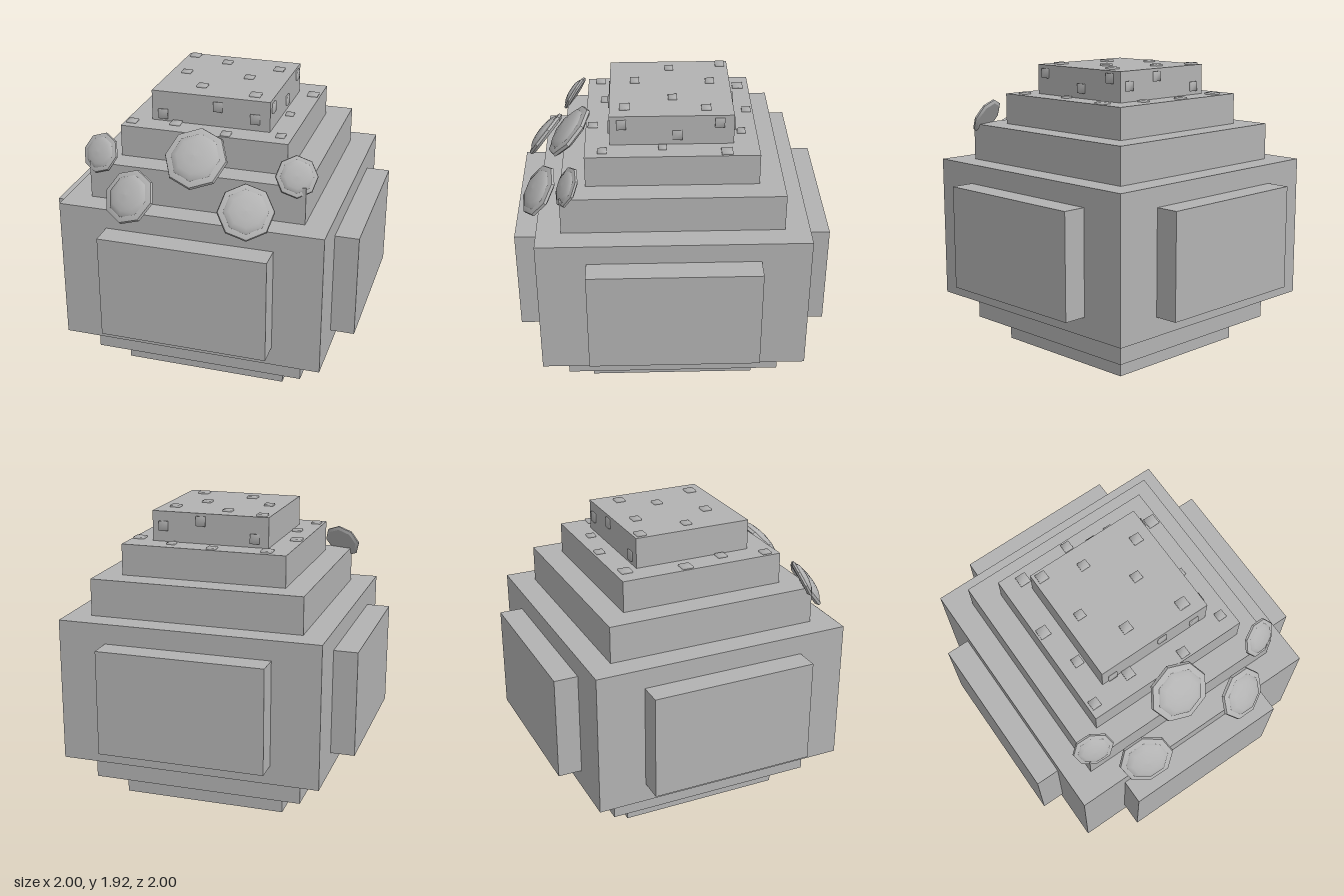
import * as THREE from 'three';
import { mergeVertices, toCreasedNormals } from 'three/addons/utils/BufferGeometryUtils.js';

const stone = new THREE.MeshStandardMaterial({ color: 0xb2b2b2 });
stone.name = 'stone grey';

function addMesh(parent, name, geometry) {
  const mesh = new THREE.Mesh(geometry, stone);
  mesh.name = name;
  parent.add(mesh);
  return mesh;
}

// Box with shared corners, so its normals are smooth
function softBox(w, h, d) {
  const g = new THREE.BoxGeometry(w, h, d);
  g.deleteAttribute('normal');
  g.deleteAttribute('uv');
  const merged = mergeVertices(g);
  merged.computeVertexNormals();
  return merged;
}

const lathe = (points) =>
  new THREE.LatheGeometry(points.map(([x, y]) => new THREE.Vector2(x, y)), 8).rotateX(Math.PI / 2);

export function createModel() {
  const model = new THREE.Group();
  model.name = 'steppedBlockCreature';

  // Stepped body: half width, bottom, top
  const tiers = [
    ['footTier', 0.538, 0, 0.155],
    ['lowerTier', 0.692, 0.155, 0.337],
    ['mainBody', 0.847, 0.337, 1.268],
    ['shoulderTier', 0.692, 1.268, 1.508],
    ['neckTier', 0.538, 1.508, 1.71],
    ['crown', 0.384, 1.71, 1.905],
  ];
  for (const [name, half, y0, y1] of tiers) {
    addMesh(model, name, new THREE.BoxGeometry(half * 2, y1 - y0, half * 2)).position.y = (y0 + y1) / 2;
  }

  // Raised panel on each of the four sides
  for (let i = 0; i < 4; i++) {
    const side = new THREE.Group();
    side.name = 'sidePanel' + (i + 1);
    side.rotation.y = (i * Math.PI) / 2;
    addMesh(side, 'panel', new THREE.BoxGeometry(1.076, 0.68, 0.16)).position.set(0, 0.8, 0.92);
    model.add(side);
  }

  // Five eyes: eight-sided rim with a domed lens, unit radius, facing +z
  const rim = toCreasedNormals(lathe([[0, -0.12], [0.85, -0.12], [1, -0.03], [0.97, 0.07], [0.8, 0.12], [0, 0.12]]), 0.5);
  const lens = lathe([[0.8, 0.09], [0.74, 0.17], [0.58, 0.24], [0.32, 0.29], [0, 0.31]]);
  const addEye = (name, x, y, z, r, pitch, yaw) => {
    const eye = new THREE.Group();
    eye.name = name;
    addMesh(eye, 'rim', rim);
    addMesh(eye, 'lens', lens);
    eye.position.set(x, y, z);
    eye.rotation.set(-pitch, yaw, 0, 'YXZ');
    eye.scale.setScalar(r);
    model.add(eye);
  };
  addEye('centreEye', -0.007, 1.598, 0.655, 0.2, 0.74, 0);
  for (const s of [-1, 1]) {
    const side = s > 0 ? 'left' : 'right';
    addEye(side + 'LowerEye', s * 0.37 - 0.006, 1.376, 0.842, 0.175, 0.62, s * 0.3);
    addEye(side + 'OuterEye', s * 0.628 - 0.006, 1.556, 0.645, 0.13, 0.5, s * 0.3);
  }

  // Small studs scattered over the crown top and the ledge below: x, z, size
  const crownStuds = [
    [-0.33, -0.335, 0.065], [-0.08, -0.255, 0.06], [0.285, -0.215, 0.065], [-0.28, 0, 0.058],
    [0.14, -0.01, 0.06], [-0.1, 0.225, 0.065], [0.265, 0.29, 0.07],
  ];
  const ledgeStuds = [
    [-0.4, -0.465, 0.07], [-0.05, -0.495, 0.058], [0.235, -0.44, 0.052], [0.49, -0.335, 0.07],
    [-0.49, -0.1, 0.07], [0.43, 0.06, 0.05], [-0.425, 0.175, 0.06], [-0.49, 0.455, 0.06],
    [-0.215, 0.415, 0.065], [0.135, 0.495, 0.06], [0.465, 0.43, 0.055],
  ];
  for (const [x, z, s] of crownStuds) {
    addMesh(model, 'crownStud', softBox(s, 0.024, s * 0.92)).position.set(x, 1.905, z);
  }
  for (const [x, z, s] of ledgeStuds) {
    addMesh(model, 'ledgeStud', softBox(s, 0.024, s)).position.set(x, 1.71, z);
  }

  // Studs on the crown's upright faces: turn about y, then [across, height]
  const wallStuds = [
    [0, [[-0.31, 1.757], [0.05, 1.84], [0.29, 1.785]]],
    [Math.PI / 2, [[-0.31, 1.85], [0.035, 1.775], [0.295, 1.857]]],
    [Math.PI, [[-0.31, 1.81], [-0.06, 1.855], [0.295, 1.765]]],
  ];
  for (const [turn, spots] of wallStuds) {
    const wall = new THREE.Group();
    wall.name = 'crownWallStuds';
    wall.rotation.y = turn;
    for (const [u, y] of spots) addMesh(wall, 'wallStud', softBox(0.06, 0.062, 0.024)).position.set(u, y, 0.384);
    model.add(wall);
  }
  return model;
}
